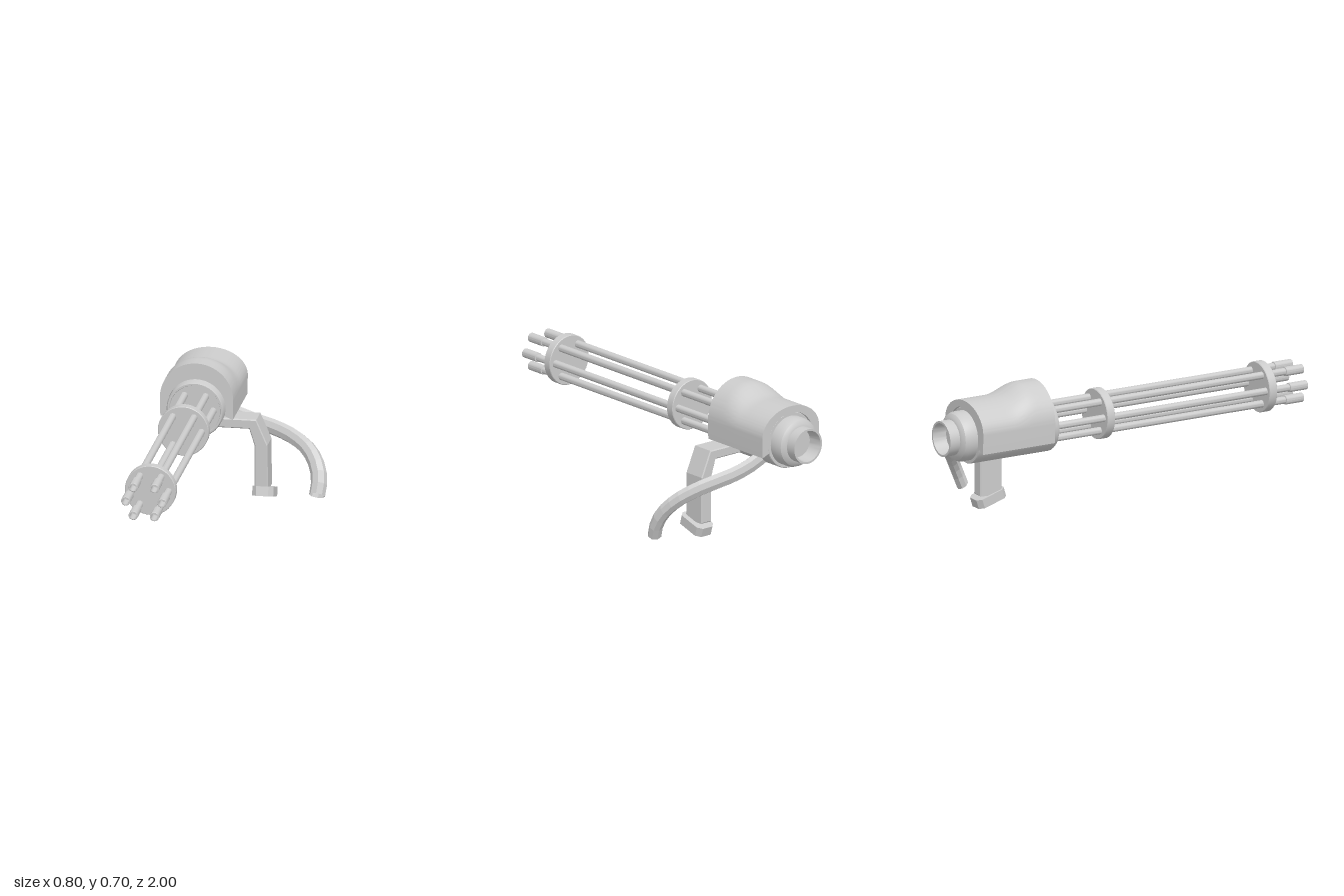
import * as THREE from 'three';
import { toCreasedNormals } from 'three/addons/utils/BufferGeometryUtils.js';

const AX = -0.223, AY = 0.483; // barrel axis
const grey = new THREE.MeshStandardMaterial({ color: 0xcccccc, side: THREE.DoubleSide });
const faceted = new THREE.MeshStandardMaterial({ color: 0xcccccc, side: THREE.DoubleSide, flatShading: true });
const vec = (list) => list.map(([x, y]) => new THREE.Vector2(x, y));

export function createModel() {
  const model = new THREE.Group();
  const add = (name, geometry, material = grey, x = 0, y = 0, z = 0) => {
    const mesh = new THREE.Mesh(geometry, material);
    mesh.name = name;
    mesh.position.set(x, y, z);
    model.add(mesh);
    return mesh;
  };
  // Turned part along z from [radius, z] pairs, rear to front
  const turned = (profile, sides) =>
    toCreasedNormals(new THREE.LatheGeometry(vec(profile), sides).rotateX(Math.PI / 2), 0.5);

  // Motor housing with stepped rear collar and open cup
  add('housing', turned([
    [0, -0.93], [0.07, -0.93], [0.078, -1], [0.088, -1], [0.088, -0.945], [0.1, -0.942],
    [0.115, -0.93], [0.123, -0.91], [0.123, -0.865], [0.137, -0.865], [0.14, -0.86],
    [0.14, -0.425], [0.135, -0.415], [0.126, -0.415], [0.124, -0.42], [0, -0.42],
  ], 48), grey, AX, AY);

  // Two clamp discs around the barrels
  for (const z of [0.797, -0.115]) {
    add('barrelClamp', turned([
      [0, -0.022], [0.122, -0.022], [0.125, -0.019], [0.125, 0.019], [0.122, 0.022], [0, 0.022],
    ], 40), grey, AX, AY, z);
  }

  // Six barrels with hollow muzzles
  const barrel = turned([[0.018, -0.45], [0.018, 0.91]], 14);
  const muzzle = turned([
    [0.017, 0.9], [0.023, 0.902], [0.023, 0.998], [0.021, 1], [0.017, 1], [0.017, 0.93], [0, 0.93],
  ], 16);
  for (const [x, y] of [[0.089, 0], [-0.089, 0], [0.052, 0.0715], [-0.052, 0.0715], [0.052, -0.0715], [-0.052, -0.0715]]) {
    add('barrel', barrel, grey, AX + x, AY + y);
    add('muzzle', muzzle, grey, AX + x, AY + y);
  }

  // Cover over the housing: arch section, its crown dropping towards the rear
  const arch = new THREE.Shape();
  arch.moveTo(0.178, -0.055);
  arch.lineTo(0.18, 0.042);
  arch.absellipse(0, 0.042, 0.18, 0.18, 0, Math.PI, false);
  arch.lineTo(-0.178, -0.055);
  arch.lineTo(-0.137, -0.038);
  arch.absarc(0, 0, 0.142, Math.PI + 0.27, -0.27, true);
  arch.closePath();
  const coverGeo = new THREE.ExtrudeGeometry(arch, { depth: 0.405, steps: 16, bevelEnabled: false, curveSegments: 32 });
  const p = coverGeo.attributes.position;
  for (let i = 0; i < p.count; i++) {
    const x = p.getX(i), y = p.getY(i), z = p.getZ(i) - 0.87;
    if (Math.hypot(x, y) > 0.15 && y > 0.042) {
      const drop = THREE.MathUtils.smoothstep(-z, 0.555, 0.7);
      const lowered = 0.042 + (y - 0.042) * (1 - 0.27 * drop);
      p.setY(i, Math.max(lowered, Math.sqrt(Math.max(0, 0.147 ** 2 - x * x))));
    }
    p.setZ(i, z);
  }
  add('cover', toCreasedNormals(coverGeo, 0.5), grey, AX, AY);

  // Cranked side handle
  const bev = 0.005;
  const handle = new THREE.Shape(vec([
    [-0.15, 0.42], [0.062, 0.42], [0.115, 0.298], [0.117, 0.07],
    [0.062, 0.07], [0.062, 0.292], [0.034, 0.382], [-0.15, 0.382],
  ]));
  add('handle', new THREE.ExtrudeGeometry(handle, {
    depth: 0.11, bevelThickness: bev, bevelSize: bev, bevelSegments: 1,
  }), faceted, 0, 0, -0.606);

  // Tilted foot on the handle, hollow underneath
  const outline = (w, d, c) => vec([
    [w - c, -d], [w, c - d], [w, d - c], [w - c, d], [c - w, d], [-w, d - c], [-w, c - d], [c - w, -d],
  ]);
  const rim = new THREE.Shape(outline(0.052, 0.08, 0.022));
  rim.holes.push(new THREE.Path(outline(0.039, 0.067, 0.016)));
  const slab = (shape, depth) => new THREE.ExtrudeGeometry(shape, { depth, bevelEnabled: false }).rotateX(Math.PI / 2);
  for (const [name, shape, depth, top] of [
    ['footPlate', new THREE.Shape(outline(0.052, 0.08, 0.022)), 0.03, 0.023],
    ['footRim', rim, 0.018, -0.006],
  ]) {
    const foot = add(name, slab(shape, depth).translate(0, top, 0), faceted, 0.098, 0.048, -0.545);
    foot.rotation.x = -0.3;
  }

  // Curved stock sweeping out and down, flattened in depth
  const flat = 0.65;
  const path = new THREE.CatmullRomCurve3([
    [-0.17, 0.41, -0.76], [-0.08, 0.365, -0.755], [0.02, 0.333, -0.745], [0.12, 0.311, -0.725],
    [0.215, 0.282, -0.69], [0.295, 0.238, -0.645], [0.345, 0.175, -0.595], [0.362, 0.11, -0.56], [0.356, 0.043, -0.535],
  ].map(([x, y, z]) => new THREE.Vector3(x, y, z / flat)));
  add('stock', new THREE.TubeGeometry(path, 14, 0.04, 8).scale(1, 1, flat), faceted);

  return model;
}
